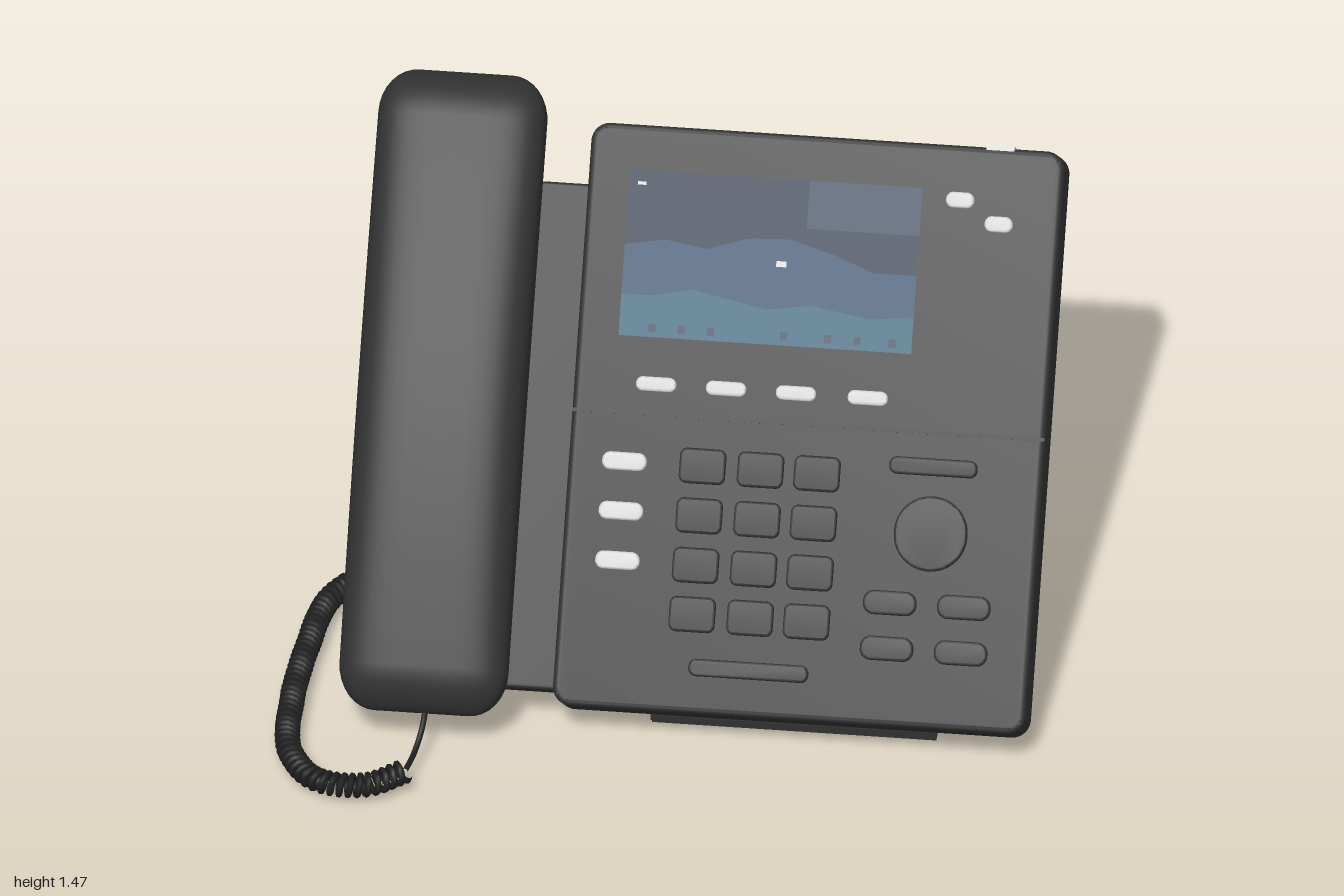
import * as THREE from 'three';
import { toCreasedNormals } from 'three/addons/utils/BufferGeometryUtils.js';

const mat = (name, color, side = THREE.FrontSide) => {
  const m = new THREE.MeshStandardMaterial({ color, side });
  m.name = name;
  return m;
};

const TILT = 0.69;   // lean of the phone from vertical
const FACE = 0.185;  // body thickness
const slope = (y) => (y - 0.138) / Math.cos(TILT); // height to distance up the sloping face

function roundedRect(w, h, r) {
  const s = new THREE.Shape(), a = w / 2, b = h / 2;
  s.absarc(a - r, b - r, r, 0, Math.PI / 2);
  s.absarc(r - a, b - r, r, Math.PI / 2, Math.PI);
  s.absarc(r - a, r - b, r, Math.PI, Math.PI * 1.5);
  s.absarc(a - r, r - b, r, Math.PI * 1.5, Math.PI * 2);
  s.closePath();
  return s;
}

// Rounded slab standing on z = 0 with softened edges
function slab(w, h, d, r, bevel) {
  const g = new THREE.ExtrudeGeometry(roundedRect(w, h, r), {
    depth: d - 2 * bevel, bevelSize: bevel, bevelThickness: bevel,
    bevelOffset: -bevel, bevelSegments: 3, curveSegments: 6,
  });
  g.translate(0, 0, bevel);
  return toCreasedNormals(g, 0.6);
}

// Handset lofted from superellipse sections along its length
function handsetGeometry() {
  const lo = -0.05, hi = 1.66, end = 0.12, cols = 40, rows = [];
  for (let k = 0; k <= 8; k++) rows.push(lo + end * (1 - Math.cos(k * Math.PI / 16)));
  for (let k = 1; k < 12; k++) rows.push(lo + end + (hi - lo - 2 * end) * k / 12);
  for (let k = 8; k >= 0; k--) rows.push(hi - end * (1 - Math.cos(k * Math.PI / 16)));
  const pos = [], idx = [];
  const soft = (c, p) => Math.sign(c) * Math.pow(Math.abs(c), p);
  rows.forEach((v, i) => {
    const d = Math.min(v - lo, hi - v, end) / end;
    const f = Math.sqrt(Math.max(0, 1 - (1 - d) ** 2));
    const t = (v - lo) / (hi - lo);
    const top = 0.325 + 0.07 * Math.sin(Math.PI * t), bottom = 0.148;
    const mid = (top + bottom) / 2, half = (top - bottom) / 2 * f;
    const wide = 0.225 - 0.1 * (1 - f);
    for (let j = 0; j < cols; j++) {
      const a = (j / cols) * Math.PI * 2;
      pos.push(wide * soft(Math.cos(a), 0.58), v, mid + half * soft(Math.sin(a), 0.62));
      if (i < rows.length - 1) {
        const p = i * cols + j, q = i * cols + (j + 1) % cols;
        idx.push(p, p + cols, q + cols, p, q + cols, q);
      }
    }
  });
  const g = new THREE.BufferGeometry();
  g.setAttribute('position', new THREE.Float32BufferAttribute(pos, 3));
  g.setIndex(idx);
  g.computeVertexNormals();
  return g;
}

// Helix wound around a guide curve
class Coil extends THREE.Curve {
  constructor(path, turns, radius) {
    super();
    Object.assign(this, { path, turns, radius });
  }
  getPoint(t, out = new THREE.Vector3()) {
    const tan = this.path.getTangentAt(t);
    const side = new THREE.Vector3().crossVectors(tan, new THREE.Vector3(0, 1, 0)).normalize();
    const up = new THREE.Vector3().crossVectors(side, tan);
    const a = t * this.turns * Math.PI * 2;
    return out.copy(this.path.getPointAt(t))
      .addScaledVector(side, Math.cos(a) * this.radius)
      .addScaledVector(up, Math.sin(a) * this.radius);
  }
}

export function createModel() {
  const casing = mat('casing charcoal', 0x303030);
  const seamDark = mat('seam black', 0x151515);
  const cordDark = mat('cord black', 0x1f1f1f);
  const light = mat('light key grey', 0xd2d2d2);
  const navy = mat('screen navy', 0x0b2442);
  const blue = mat('screen blue', 0x20456a);
  const teal = mat('screen teal', 0x275f78);
  const panel = mat('screen panel slate', 0x2c4058);

  const model = new THREE.Group();
  model.name = 'deskPhone';
  const add = (parent, name, geo, material, x = 0, y = 0, z = 0) => {
    const m = new THREE.Mesh(geo, material);
    m.name = name;
    m.position.set(x, y, z);
    parent.add(m);
    return m;
  };

  // Everything on the sloping body
  const phone = new THREE.Group();
  phone.name = 'phone';
  phone.position.set(0, 0.02, 0.42);
  phone.rotation.x = -TILT;
  model.add(phone);

  add(phone, 'body', slab(1.265, 1.555, FACE, 0.05, 0.015), casing, 0.3675, 0.7775, 0);
  add(phone, 'cradle', slab(0.58, 1.35, 0.135, 0.03, 0.008), casing, -0.51, 0.715, 0.01);
  add(phone, 'handset', handsetGeometry(), casing, -0.605, 0, 0);
  add(phone, 'faceSeam', new THREE.BoxGeometry(1.262, 0.01, 0.004), seamDark, 0.3675, 0.787, FACE);

  // Keys, placed by their height above the ground
  const key = (name, x, y, w, h, material, r = 0.02) =>
    add(phone, name, slab(w, h, 0.03, r, 0.006), material, x, slope(y), FACE - 0.012);
  for (const y of [0.645, 0.543, 0.441, 0.34]) {
    for (const x of [0.094, 0.249, 0.4]) key('numberKey', x, y, 0.123, 0.094, casing);
  }
  for (const y of [0.645, 0.543, 0.441]) key('lineKey', -0.115, y, 0.118, 0.048, light, 0.022);
  for (const x of [-0.045, 0.142, 0.329, 0.521]) key('softKey', x, 0.807, 0.107, 0.038, light, 0.018);
  key('upperKey', 0.73, 1.225, 0.075, 0.042, light);
  key('upperKey', 0.837, 1.18, 0.075, 0.042, light);
  key('volumeBar', 0.709, 0.674, 0.235, 0.046, casing);
  key('lowerBar', 0.254, 0.232, 0.32, 0.046, casing);
  for (const x of [0.618, 0.816]) {
    for (const y of [0.39, 0.296]) key('functionKey', x, y, 0.142, 0.064, casing, 0.028);
  }
  key('navigationPad', 0.714, 0.537, 0.196, 0.2, casing, 0.097);
  add(phone, 'messageLight', new THREE.BoxGeometry(0.075, 0.016, 0.055), light, 0.827, 1.553, 0.155);

  // Display picture in thin layers
  const sx = -0.155, sw = 0.783, sy = 0.992, sh = 0.443;
  const layer = (name, pts, material, lift) => {
    const s = new THREE.Shape(pts.map(([u, v]) => new THREE.Vector2(sx + u * sw, sy + v * sh)));
    add(phone, name, new THREE.ShapeGeometry(s), material, 0, 0, FACE + lift);
  };
  const rect = (u, v, w, h) => [[u, v], [u + w, v], [u + w, v + h], [u, v + h]];
  layer('screen', rect(0, 0, 1, 1), navy, 0.002);
  layer('farHills', [[0, 0], [1, 0], [1, 0.47], [0.85, 0.47], [0.72, 0.56], [0.56, 0.64], [0.42, 0.63],
    [0.28, 0.55], [0.14, 0.59], [0, 0.55]], blue, 0.004);
  layer('nearHills', [[0, 0], [1, 0], [1, 0.22], [0.85, 0.19], [0.65, 0.25], [0.5, 0.21], [0.38, 0.25],
    [0.24, 0.3], [0.1, 0.25], [0, 0.25]], teal, 0.006);
  layer('screenPanel', rect(0.615, 0.71, 0.385, 0.29), panel, 0.006);
  layer('screenMark', rect(0.03, 0.91, 0.03, 0.02), light, 0.007);
  layer('screenMark', rect(0.52, 0.47, 0.035, 0.035), light, 0.007);
  for (const u of [0.1, 0.2, 0.3, 0.55, 0.7, 0.8, 0.92]) {
    layer('screenIcon', rect(u, 0.03, 0.025, 0.05), panel, 0.008);
  }

  // Folding stand: one frame against the back, one propped behind
  const frame = (length, holeTop, holeBottom, thick) => {
    const s = new THREE.Shape([[0, 0], [0, -length], [0.73, -length], [0.73, 0]]
      .map(([x, y]) => new THREE.Vector2(x, y)));
    s.holes.push(new THREE.Path([[0.09, holeTop], [0.64, holeTop], [0.64, holeBottom], [0.09, holeBottom]]
      .map(([x, y]) => new THREE.Vector2(x, y))));
    return new THREE.ExtrudeGeometry(s, { depth: thick, bevelEnabled: false });
  };
  add(phone, 'standBackFrame', frame(0.84, -0.42, -0.75, 0.02), casing, 0, 0.84, -0.018);
  const leg = add(model, 'standLeg', frame(0.99, -0.44, -0.885, 0.025), casing, 0, 0.66, -0.126);
  leg.rotation.x = 0.881;
  const hinge = new THREE.CylinderGeometry(0.016, 0.016, 0.73, 12).rotateZ(Math.PI / 2);
  add(model, 'standHinge', hinge, casing, 0.365, 0.66, -0.128);
  for (const x of [0.04, 0.69]) {
    add(model, 'rearFoot', new THREE.BoxGeometry(0.11, 0.018, 0.09), casing, x, 0.018, -0.855);
    add(model, 'frontFoot', new THREE.BoxGeometry(0.11, 0.018, 0.1), casing, x, 0.014, 0.375);
  }
  add(model, 'frontFootBar', new THREE.BoxGeometry(0.76, 0.022, 0.025), casing, 0.37, 0.012, 0.415);

  // Coiled cord with straight ends
  const curve = (pts) => new THREE.CatmullRomCurve3(pts.map((p) => new THREE.Vector3(...p)));
  const path = curve([[-0.56, 0.28, 0.03], [-0.65, 0.2, -0.06], [-0.76, 0.09, -0.1], [-0.86, 0.052, -0.05],
    [-0.92, 0.05, 0.05], [-0.95, 0.05, 0.25], [-0.965, 0.05, 0.5], [-0.945, 0.05, 0.73],
    [-0.86, 0.05, 0.85], [-0.73, 0.05, 0.86], [-0.63, 0.06, 0.8]]);
  add(model, 'coiledCord', new THREE.TubeGeometry(new Coil(path, 72, 0.026), 1008, 0.009, 6), cordDark);
  const wire = (name, pts) => add(model, name, new THREE.TubeGeometry(curve(pts), 16, 0.008, 8), cordDark);
  wire('cordToCradle', [[-0.56, 0.28, 0.03], [-0.55, 0.3, 0.08], [-0.54, 0.36, 0.15]]);
  wire('cordToHandset', [[-0.63, 0.06, 0.8], [-0.615, 0.06, 0.72], [-0.6, 0.1, 0.66], [-0.59, 0.18, 0.61]]);

  return model;
}
